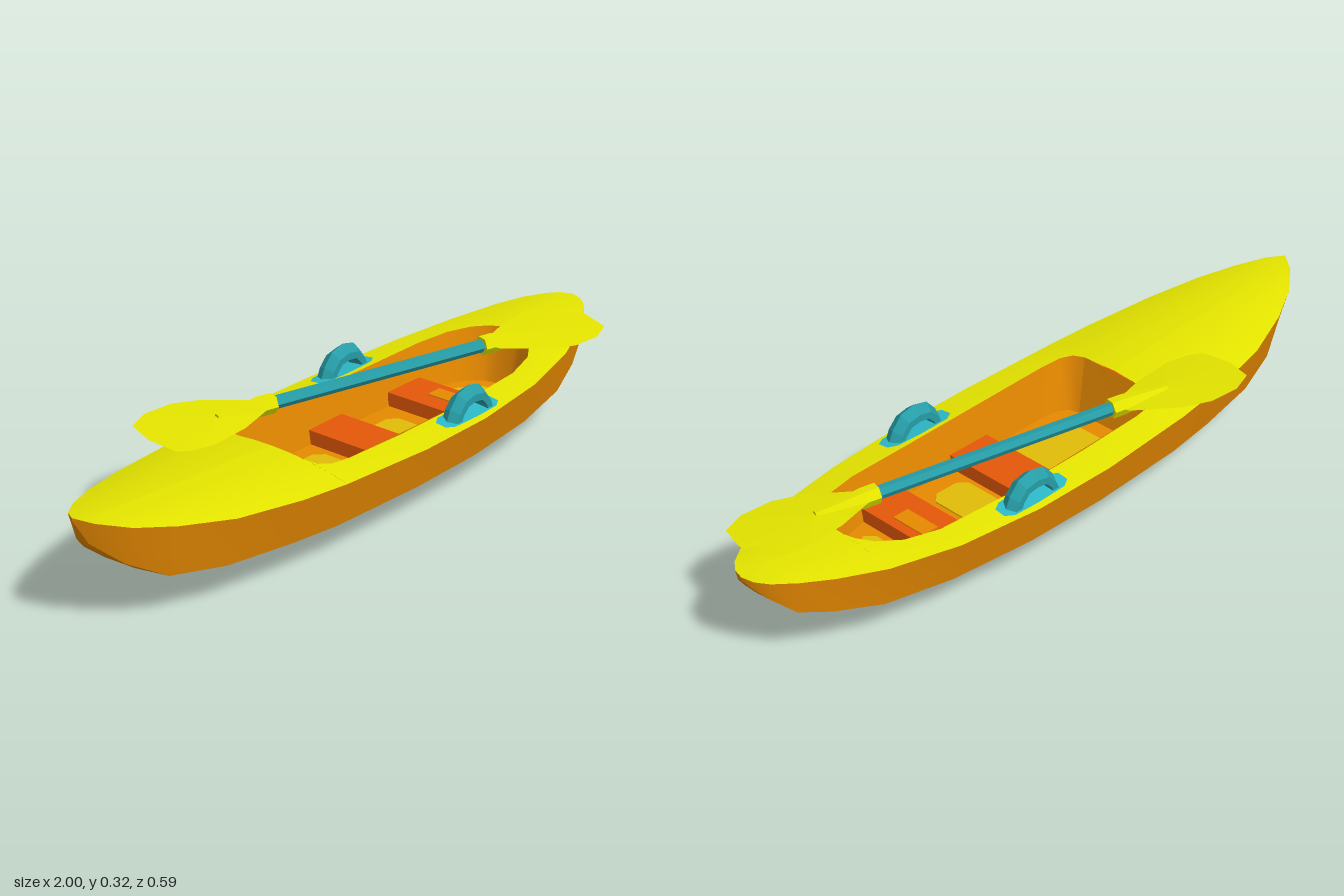
import * as THREE from 'three';

const mat = (name, color, side = THREE.FrontSide) => {
  const m = new THREE.MeshStandardMaterial({ color, side });
  m.name = name;
  return m;
};

// Hull stations: x, sheer half width, sheer y, chine half width, chine y, keel y, deck crown
const STATIONS = [
  [-1, 0, 0.322, 0, 0.318, 0.315, 0],
  [-0.97, 0.045, 0.31, 0.02, 0.25, 0.245, 0],
  [-0.9, 0.1, 0.29, 0.07, 0.185, 0.18, 0.01],
  [-0.8, 0.15, 0.272, 0.115, 0.128, 0.11, 0.02],
  [-0.65, 0.2, 0.25, 0.165, 0.112, 0.07, 0.03],
  [-0.45, 0.235, 0.234, 0.2, 0.105, 0.028, 0.035],
  [-0.3, 0.25, 0.226, 0.217, 0.1, 0.006, 0.03],
  [0, 0.265, 0.217, 0.233, 0.1, 0, 0.02],
  [0.25, 0.262, 0.215, 0.23, 0.1, 0.008, 0.02],
  [0.5, 0.238, 0.22, 0.205, 0.1, 0.032, 0.02],
  [0.7, 0.195, 0.232, 0.17, 0.112, 0.07, 0.02],
  [0.83, 0.147, 0.246, 0.128, 0.138, 0.108, 0.015],
  [0.91, 0.106, 0.255, 0.092, 0.16, 0.153, 0.01],
  [0.965, 0.066, 0.26, 0.054, 0.21, 0.205, 0],
  [0.99, 0.035, 0.263, 0.026, 0.24, 0.236, 0],
  [1, 0, 0.265, 0, 0.258, 0.255, 0],
];

// Cockpit opening: x, half width
const COCKPIT = [
  [-0.3, 0.11], [-0.29, 0.145], [-0.26, 0.165], [-0.2, 0.172], [0.25, 0.172],
  [0.5, 0.162], [0.6, 0.138], [0.66, 0.1], [0.69, 0.06], [0.7, 0.03],
];

const lookup = (table, x, col) => {
  let i = 0;
  while (i < table.length - 2 && x > table[i + 1][0]) i++;
  const a = table[i], b = table[i + 1];
  return a[col] + (b[col] - a[col]) * (x - a[0]) / (b[0] - a[0]);
};

const deckY = (x, z) => {
  const w = lookup(STATIONS, x, 1);
  const r = w > 0 ? Math.min(1, Math.abs(z) / w) : 1;
  return lookup(STATIONS, x, 2) + lookup(STATIONS, x, 6) * (1 - r * r);
};

// Surface through rows of points
function grid(rows) {
  const n = rows[0].length, index = [];
  for (let i = 0; i < rows.length - 1; i++) {
    for (let j = 0; j < n - 1; j++) {
      const a = i * n + j, b = a + 1, c = a + n, d = c + 1;
      index.push(a, b, c, b, d, c);
    }
  }
  const g = new THREE.BufferGeometry();
  g.setAttribute('position', new THREE.Float32BufferAttribute(rows.flat(2), 3));
  g.setIndex(index);
  g.computeVertexNormals();
  return g;
}

const faceted = (geometry) => {
  const g = geometry.toNonIndexed();
  g.computeVertexNormals();
  return g;
};

export function createModel() {
  const yellow = mat('deck yellow', 0xe4e400, THREE.DoubleSide);
  const orange = mat('hull orange', 0xe88a00, THREE.DoubleSide);
  const rust = mat('bottom rust', 0xd65406, THREE.DoubleSide);
  const red = mat('seat red', 0xe45808);
  const ochre = mat('floor ochre', 0xe2bc08);
  const teal = mat('fitting teal', 0x269ca6, THREE.DoubleSide);
  const cyan = mat('pad cyan', 0x2cb8c8, THREE.DoubleSide);

  const model = new THREE.Group();
  const boat = new THREE.Group();
  boat.name = 'boat';
  boat.position.z = 0.03;
  model.add(boat);
  const add = (parent, name, geometry, material) => {
    const m = new THREE.Mesh(geometry, material);
    m.name = name;
    parent.add(m);
    return m;
  };

  // Hull side, running from the bow round the stern and back
  const around = (widthCol, yCol) => {
    const half = STATIONS.map((r) => [r[0], r[yCol], r[widthCol]]);
    return [...half, ...half.slice(0, -1).reverse().map(([x, y, z]) => [x, y, -z])];
  };
  add(boat, 'hullSide', grid([around(3, 4), around(1, 2)]), orange);

  // V bottom, with its upturned ends in the side colour
  for (const s of [1, -1]) {
    const bottom = (from, to) => grid(STATIONS.slice(from, to).map(([x, , , cw, cy, ky]) => {
      const row = [[x, cy, s * cw], [x, ky, 0]];
      return s > 0 ? row : row.reverse();
    }));
    add(boat, 'bowUnderside', bottom(0, 4), orange);
    add(boat, 'hullBottom', bottom(3, 13), rust);
    add(boat, 'sternUnderside', bottom(12, 16), orange);
  }

  // Crowned deck around the cockpit opening
  const first = COCKPIT[0][0], last = COCKPIT[COCKPIT.length - 1][0];
  const xs = [...new Set([...STATIONS, ...COCKPIT].map((r) => r[0]))].sort((a, b) => a - b);
  const spans = [];
  for (const x of xs) {
    const inside = x >= first && x <= last;
    if (x === first) spans.push([x, 0]);
    spans.push([x, inside ? lookup(COCKPIT, x, 1) : 0]);
    if (x === last) spans.push([x, 0]);
  }
  for (const s of [1, -1]) {
    add(boat, s > 0 ? 'deckFront' : 'deckBack', grid(spans.map(([x, inner]) => {
      const outer = lookup(STATIONS, x, 1);
      const row = [0, 0.25, 0.5, 0.75, 1].map((t) => {
        const z = s * (inner + (outer - inner) * t);
        return [x, deckY(x, z), z];
      });
      return s > 0 ? row : row.reverse();
    })), yellow);
  }

  // Cockpit walls and floor
  const floorY = 0.095;
  const sink = ([x, , z]) => [0.2 + (x - 0.2) * 0.93, floorY, z * 0.87];
  const rim = COCKPIT.map(([x, w]) => [x, deckY(x, w), w]);
  const loop = [...rim, ...rim.map(([x, y, z]) => [x, y, -z]).reverse(), rim[0]];
  add(boat, 'cockpitWall', grid([loop, loop.map(sink)]), orange);
  add(boat, 'cockpitFloor', grid(rim.map((p) => {
    const [x, y, z] = sink(p);
    return [[x, y, -z], [x, y, z]];
  })), orange);

  // Floor panels with cut corners
  for (const [x0, x1, w0, w1] of [[-0.21, 0.0, 0.108, 0.1], [0.18, 0.3, 0.092, 0.092], [0.51, 0.62, 0.09, 0.05]]) {
    const c = 0.025;
    const shape = new THREE.Shape([
      [x0, -w0 + c], [x0 + c, -w0], [x1 - c, -w1], [x1, -w1 + c],
      [x1, w1 - c], [x1 - c, w1], [x0 + c, w0], [x0, w0 - c],
    ].map((p) => new THREE.Vector2(...p)));
    const panel = add(boat, 'floorPanel', new THREE.ExtrudeGeometry(shape, { depth: 0.004, bevelEnabled: false }), ochre);
    panel.rotation.x = -Math.PI / 2;
    panel.position.y = floorY;
  }

  // Low bench seats
  const seatHeight = 0.04;
  for (const [x, length, width] of [[0.095, 0.135, 0.322], [0.42, 0.135, 0.3]]) {
    const seat = add(boat, 'seat', new THREE.BoxGeometry(length, seatHeight, width), red);
    seat.position.set(x, floorY + seatHeight / 2, 0);
  }
  const inset = add(boat, 'seatInset', new THREE.BoxGeometry(0.05, 0.004, 0.11), orange);
  inset.position.set(0.435, floorY + seatHeight + 0.001, 0);

  // Arched carry handles with a ridged top, each on a deck pad
  const arch = [
    [-0.095, 0.212, -0.058], [-0.076, 0.255, -0.05, 0.235], [-0.045, 0.29, -0.03, 0.255], [0, 0.301, 0, 0.26],
    [0.045, 0.29, 0.03, 0.255], [0.076, 0.255, 0.05, 0.235], [0.095, 0.212, 0.058],
  ];
  for (const s of [1, -1]) {
    const zc = s * 0.213, h = 0.025;
    add(boat, 'handle', faceted(grid(arch.map(([ox, oy, ix, iy = 0.212]) => {
      const mx = ox * 0.6 + ix * 0.4 + 0.235, my = oy * 0.5 + iy * 0.5;
      const lower = [ix + 0.235, iy, zc - h];
      return [
        lower, [mx, my, zc - h], [ox + 0.235, oy, zc], [mx, my, zc + h],
        [ix + 0.235, iy, zc + h], lower,
      ];
    }))), teal);
    add(boat, 'handlePad', grid([[0.12, 0.016], [0.145, 0.03], [0.235, 0.032], [0.32, 0.03], [0.345, 0.016]].map(
      ([x, w]) => [-w, 0, w].map((d) => [x, deckY(x, zc + d) + 0.003, zc + d]))), cyan);
  }

  // Double paddle lying across the cockpit
  const paddle = new THREE.Group();
  paddle.name = 'paddle';
  paddle.position.set(0.2, 0.269, -0.025);
  paddle.rotation.x = 0.078;
  model.add(paddle);
  const angle = -Math.atan2(0.085, 0.34);
  const rod = (r0, r1, from, to) => faceted(
    new THREE.CylinderGeometry(r1, r0, to - from, 6)
      .translate(0, (from + to) / 2, 0).rotateZ(Math.PI / 2).rotateY(angle));
  add(paddle, 'paddleShaft', rod(0.018, 0.018, -0.37, 0.37), teal);

  // Blades thicken slightly from a sharp edge towards the middle
  const outline = [
    [-0.71, -0.075], [-0.715, -0.165], [-0.69, -0.245], [-0.62, -0.27], [-0.53, -0.262], [-0.46, -0.225],
    [-0.36, -0.13], [-0.345, -0.075], [-0.49, -0.04], [-0.61, -0.033], [-0.675, -0.05], [-0.71, -0.075],
  ];
  const edge = outline.map(([x, z]) => [x, 0, z]);
  const crest = (y) => edge.map(() => [-0.5, y, -0.122]);
  for (const turn of [0, Math.PI]) {
    const half = new THREE.Group();
    half.name = turn ? 'paddleEndStern' : 'paddleEndBow';
    half.rotation.y = turn;
    paddle.add(half);
    add(half, 'bladeTop', grid([edge, crest(0.004)]), yellow);
    add(half, 'bladeUnderside', grid([crest(-0.004), edge]), yellow);
    add(half, 'ferrule', rod(0.027, 0.027, 0.345, 0.385), yellow);
    add(half, 'bladeNeck', rod(0.027, 0.012, 0.385, 0.52), yellow);
  }
  return model;
}
